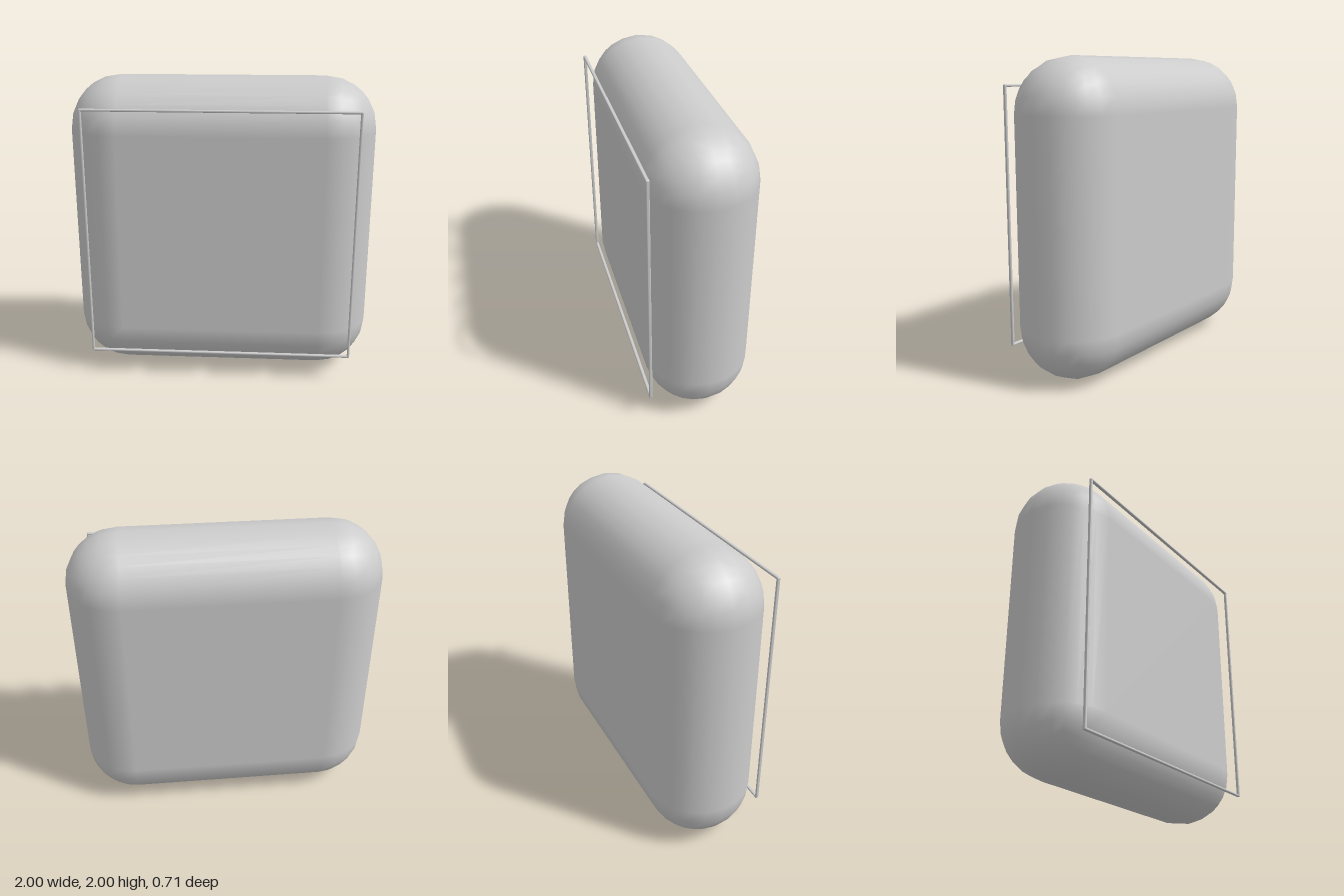
import * as THREE from 'three';
import { RoundedBoxGeometry } from 'three/addons/geometries/RoundedBoxGeometry.js';

export function createModel() {
  const model = new THREE.Group();
  const material = new THREE.MeshStandardMaterial({ color: 0xcccccc });

  function roundedBox(name, parent, size, segments, radius, position) {
    const mesh = new THREE.Mesh(new RoundedBoxGeometry(...size, segments, radius), material);
    mesh.name = name;
    mesh.position.set(...position);
    parent.add(mesh);
  }

  // Pillow-edged body: the edge radius is half its depth
  const depth = 0.688;
  roundedBox('body', model, [2, 2, depth], 3, depth / 2, [0, 1, -0.011]);

  // Thin open frame resting on the front face
  const frame = new THREE.Group();
  frame.name = 'frontFrame';
  frame.position.set(0, 1.003, 0.344);
  model.add(frame);

  const width = 1.738, height = 1.653, bar = 0.016, thick = 0.022;
  for (const side of [-1, 1]) {
    roundedBox(side > 0 ? 'frameLeftBar' : 'frameRightBar', frame,
      [bar, height, thick], 2, 0.007, [side * (width - bar) / 2, 0, 0]);
    roundedBox(side > 0 ? 'frameTopBar' : 'frameBottomBar', frame,
      [width, bar, thick], 2, 0.007, [0, side * (height - bar) / 2, 0]);
  }

  return model;
}
